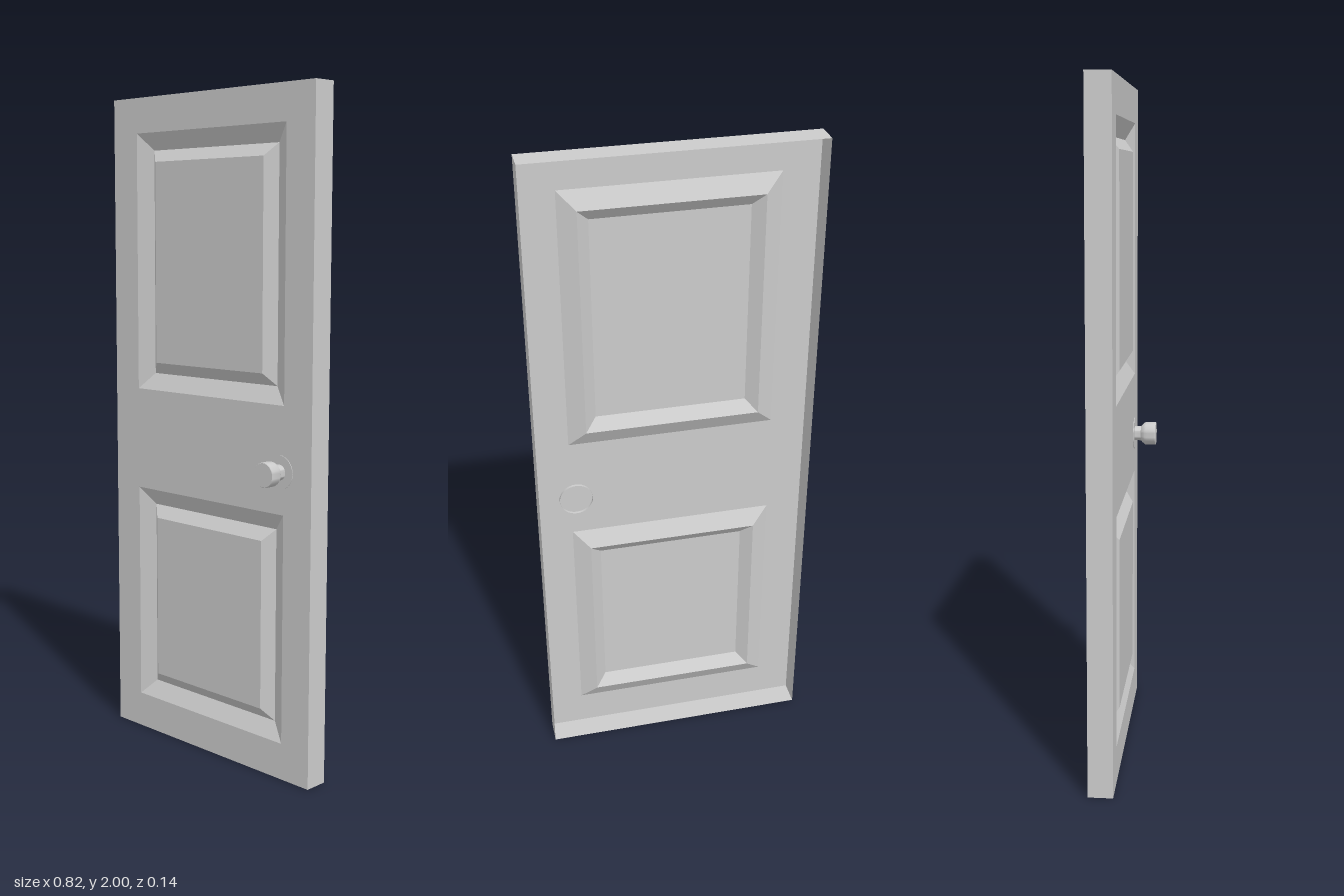
import * as THREE from 'three';
import { toCreasedNormals } from 'three/addons/utils/BufferGeometryUtils.js';

const HALF_W = 0.411, HEIGHT = 2, DEPTH = 0.073;
const material = new THREE.MeshStandardMaterial({ color: 0xcccccc, side: THREE.DoubleSide });

// Rectangle as [left, bottom, right, top], symmetric in x
const rect = (halfW, y0, y1) => [-halfW, y0, halfW, y1];
const corners = ([l, b, r, t], z) => [[l, b, z], [r, b, z], [r, t, z], [l, t, z]];

// Four flat quads joining rectangle a at depth za to rectangle b at depth zb
function frame(a, za, b, zb) {
  const A = corners(a, za), B = corners(b, zb), pos = [];
  for (let i = 0; i < 4; i++) {
    const j = (i + 1) % 4;
    for (const p of [A[i], A[j], B[j], A[i], B[j], B[i]]) pos.push(...p);
  }
  const g = new THREE.BufferGeometry();
  g.setAttribute('position', new THREE.Float32BufferAttribute(pos, 3));
  g.computeVertexNormals();
  return g;
}

const outline = (r, Type) =>
  new Type(corners(r, 0).map(([x, y]) => new THREE.Vector2(x, y)));

function add(parent, name, geometry) {
  const mesh = new THREE.Mesh(geometry, material);
  mesh.name = name;
  parent.add(mesh);
  return mesh;
}

export function createModel() {
  const door = new THREE.Group();
  door.name = 'door';

  // Each panel: sloped border down to a valley, then up to a raised field
  const panels = [
    { name: 'upperPanel', y0: 1.11, y1: 1.894 },
    { name: 'lowerPanel', y0: 0.11, y1: 0.794 },
  ].map(({ name, y0, y1 }) => ({
    name,
    outer: rect(0.307, y0, y1),
    valley: rect(0.257, y0 + 0.05, y1 - 0.052),
    field: rect(0.223, y0 + 0.086, y1 - 0.088),
  }));

  // Front sheet with an opening for each panel
  const sheet = outline(rect(HALF_W, 0, HEIGHT), THREE.Shape);
  for (const p of panels) sheet.holes.push(outline(p.outer, THREE.Path));
  add(door, 'frontSheet', new THREE.ShapeGeometry(sheet));

  // Side walls; the back is open
  const edge = rect(HALF_W, 0, HEIGHT);
  add(door, 'edgeWalls', frame(edge, -DEPTH, edge, 0));

  const valleyZ = -0.027, fieldZ = 0.001;
  for (const p of panels) {
    const group = new THREE.Group();
    group.name = p.name;
    add(group, 'outerBevel', frame(p.outer, 0, p.valley, valleyZ));
    add(group, 'innerBevel', frame(p.valley, valleyZ, p.field, fieldZ));
    const field = add(group, 'raisedField', new THREE.ShapeGeometry(outline(p.field, THREE.Shape)));
    field.position.z = fieldZ;
    door.add(group);
  }

  // Knob with its rose, turned around the z axis
  const knob = new THREE.Group();
  knob.name = 'knob';
  const turned = (name, profile) => {
    const g = new THREE.LatheGeometry(profile.map(([r, z]) => new THREE.Vector2(r, z)), 32);
    g.rotateX(Math.PI / 2);
    add(knob, name, toCreasedNormals(g, 0.6));
  };
  turned('rose', [[0.05, -0.008], [0.05, 0.002], [0.022, 0.002]]);
  turned('handle', [
    [0.023, 0], [0.023, 0.022], [0.027, 0.025], [0.035, 0.034],
    [0.0365, 0.038], [0.0365, 0.068], [0.035, 0.07], [0, 0.07],
  ]);
  knob.position.set(0.292, 0.918, 0);
  door.add(knob);

  return door;
}
